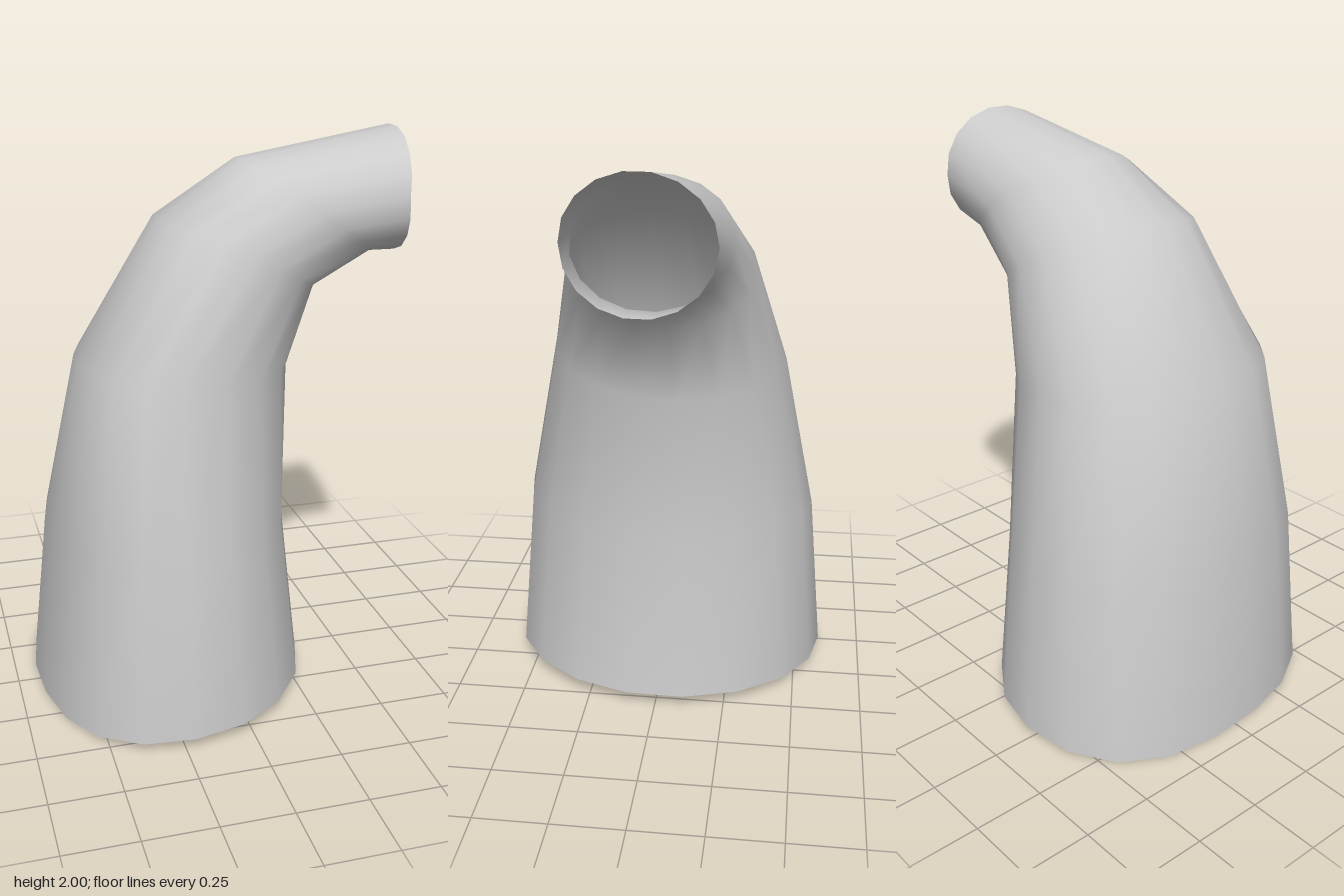
import * as THREE from 'three';

const SIDES = 18;

// Cross-sections from base to mouth, each given in the x-y plane:
// outer = outside of the bend, mid = widest point, inner = inside of the bend,
// w = half width along z, skew = how far the section leans from back to front
const SECTIONS = [
  { outer: [-0.67, 0.0], mid: [-0.22, 0.033], inner: [0.305, 0.045], w: 0.595, skew: [0, 0.008] },
  { outer: [-0.61, 0.62], mid: [-0.22, 0.635], inner: [0.24, 0.64], w: 0.545, skew: [-0.01, 0.015] },
  { outer: [-0.49, 1.24], mid: [-0.17, 1.235], inner: [0.26, 1.18], w: 0.43, skew: [-0.04, 0.015] },
  { outer: [-0.2, 1.72], mid: [0.075, 1.61], inner: [0.36, 1.46], w: 0.33, skew: [-0.025, 0.02] },
  { outer: [0.09, 1.905], mid: [0.33, 1.74], inner: [0.57, 1.57], w: 0.268, skew: [-0.02, 0.01] },
  { outer: [0.655, 2.0], mid: [0.638, 1.785], inner: [0.665, 1.57], w: 0.24, skew: [-0.01, 0] },
];

// Loft an open tube through the sections
function bentTube(sections) {
  const positions = [];
  const indices = [];
  sections.forEach(({ outer, mid, inner, w, skew }, i) => {
    const blend = 1 - i / (sections.length - 1);
    for (let j = 0; j < SIDES; j++) {
      const t = (j / SIDES) * Math.PI * 2;
      const c = Math.cos(t);
      const s = Math.sin(t);
      const target = s > 0 ? outer : inner;
      // the outer half is slightly squared off near the base
      const fullness = s > 0 ? 1 + blend * (0.2 * c * c - 0.06 * c - 0.01) : 1;
      const reach = (Math.abs(s) / 0.985) * fullness;
      positions.push(
        mid[0] + (target[0] - mid[0]) * reach + skew[0] * c,
        mid[1] + (target[1] - mid[1]) * reach + skew[1] * c,
        w * c
      );
      if (i < sections.length - 1) {
        const a = i * SIDES + j;
        const b = i * SIDES + ((j + 1) % SIDES);
        indices.push(a, a + SIDES, b, b, a + SIDES, b + SIDES);
      }
    }
  });
  const geometry = new THREE.BufferGeometry();
  geometry.setAttribute('position', new THREE.Float32BufferAttribute(positions, 3));
  geometry.setIndex(indices);
  geometry.computeVertexNormals();
  return geometry;
}

export function createModel() {
  const group = new THREE.Group();
  group.name = 'bentSleeve';
  const material = new THREE.MeshStandardMaterial({ color: 0xcccccc, side: THREE.DoubleSide });
  const tube = new THREE.Mesh(bentTube(SECTIONS), material);
  tube.name = 'taperedTube';
  group.add(tube);
  return group;
}
